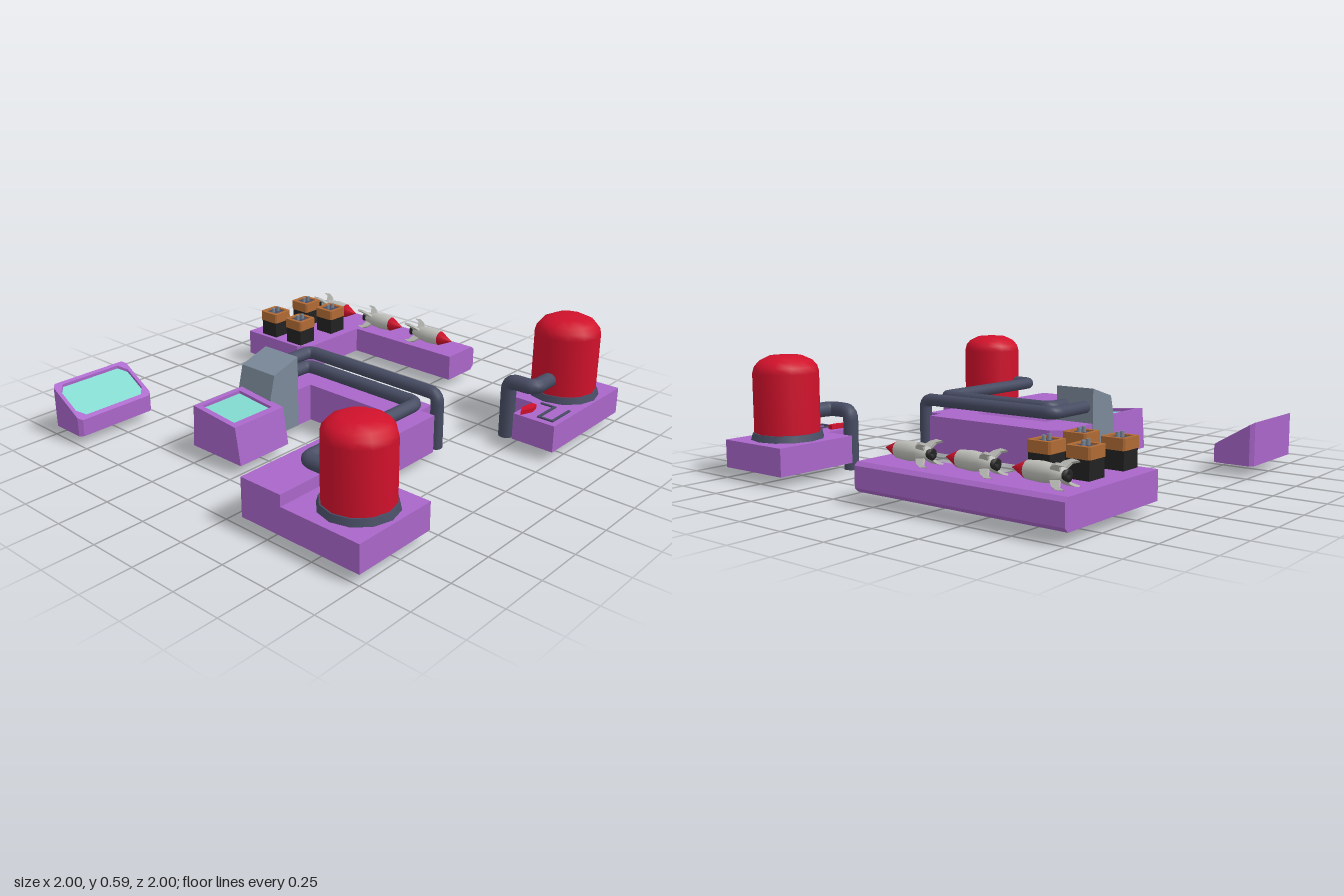
import * as THREE from 'three';

const mat = (color, flatShading = false) =>
  new THREE.MeshStandardMaterial({ color, flatShading, side: THREE.DoubleSide });
const PURPLE = mat(0xa966c9), DARK = mat(0x474c63), RED = mat(0xd0112b), GREY = mat(0x7b8999),
  TEAL = mat(0x7fd6cc), COPPER = mat(0xb06a35), BLACK = mat(0x222222), HULL = mat(0xbdbdb8);

function add(parent, name, geo, material, x = 0, y = 0, z = 0) {
  const m = new THREE.Mesh(geo, material);
  m.name = name;
  m.position.set(x, y, z);
  parent.add(m);
  return m;
}

// Upright prism over an [x, z] outline; top is a height or a rule on a top vertex
function prism(outline, y0, top, hole) {
  const toV = ([x, z]) => new THREE.Vector2(x, -z);
  const shape = new THREE.Shape(outline.map(toV));
  if (hole) shape.holes.push(new THREE.Path(hole.map(toV)));
  const g = new THREE.ExtrudeGeometry(shape, { depth: 1, bevelEnabled: false }).rotateX(-Math.PI / 2);
  const p = g.attributes.position;
  for (let i = 0; i < p.count; i++) {
    if (p.getY(i) < 0.5) p.setY(i, y0);
    else if (typeof top === 'number') p.setY(i, top);
    else {
      const [y, z] = top(p.getZ(i));
      p.setY(i, y);
      p.setZ(i, z);
    }
  }
  g.computeVertexNormals();
  return g;
}

// Rectangle with cut corners
function rect(x0, x1, z0, z1, c = 0) {
  if (!c) return [[x0, z0], [x1, z0], [x1, z1], [x0, z1]];
  return [[x0 + c, z0], [x1 - c, z0], [x1, z0 + c], [x1, z1 - c],
    [x1 - c, z1], [x0 + c, z1], [x0, z1 - c], [x0, z0 + c]];
}

// Pipe: closed straight runs joined by short rounded bends
function pipe(parent, name, pts, r, bend = 0.045) {
  const group = new THREE.Group();
  group.name = name;
  const v = pts.map(p => new THREE.Vector3(...p));
  const toward = (a, b) => a.clone().add(b.clone().sub(a).setLength(bend));
  for (let i = 0; i < v.length - 1; i++) {
    const a = i > 0 ? toward(v[i], v[i + 1]) : v[i];
    const b = i < v.length - 2 ? toward(v[i + 1], v[i]) : v[i + 1];
    const run = add(group, 'pipeRun', new THREE.CylinderGeometry(r, r, a.distanceTo(b), 12), DARK);
    run.position.copy(a).lerp(b, 0.5);
    run.quaternion.setFromUnitVectors(new THREE.Vector3(0, 1, 0), b.clone().sub(a).normalize());
    if (i > 0) {
      const curve = new THREE.QuadraticBezierCurve3(toward(v[i], v[i - 1]), v[i], a);
      add(group, 'pipeBend', new THREE.TubeGeometry(curve, 5, r, 12), DARK);
    }
  }
  parent.add(group);
}

function tank(parent, x, z) {
  const g = new THREE.Group();
  g.name = 'tank';
  g.position.set(x, 0.185, z);
  add(g, 'tankCollar', new THREE.CylinderGeometry(0.167, 0.177, 0.035, 12), DARK, 0, 0.015);
  const profile = [[0.16, 0.02], [0.16, 0.32], [0.152, 0.35], [0.13, 0.376], [0.08, 0.4], [0, 0.402]];
  add(g, 'tankDome', new THREE.LatheGeometry(profile.map(p => new THREE.Vector2(...p)), 12), RED);
  parent.add(g);
}

function battery(parent, x, z) {
  const g = new THREE.Group();
  g.name = 'battery';
  g.position.set(x, 0.185, z);
  add(g, 'batteryCase', new THREE.BoxGeometry(0.108, 0.09, 0.108), BLACK, 0, 0.045);
  const r = 0.06, h = 0.04;
  add(g, 'batteryCap', prism(rect(-r, r, -r, r, 0.008), 0.085, 0.137, rect(-h, h, -h, h)), COPPER);
  add(g, 'batteryPlate', new THREE.BoxGeometry(0.08, 0.04, 0.08), DARK, 0, 0.11);
  for (const s of [-1, 1])
    add(g, 'batteryTerminal', new THREE.CylinderGeometry(0.009, 0.009, 0.03, 8), GREY, s * 0.018, 0.14);
  parent.add(g);
}

function rocket(parent, tipZ) {
  const g = new THREE.Group();
  g.name = 'rocket';
  g.position.set(0.865, 0.235, tipZ);
  const lathe = pts => new THREE.LatheGeometry(pts.map(p => new THREE.Vector2(...p)), 12).rotateX(Math.PI / 2);
  add(g, 'rocketNose', lathe([[0, -0.08], [0.039, -0.08], [0, 0]]), RED);
  add(g, 'rocketBody', lathe([[0, -0.255], [0.028, -0.255], [0.039, -0.2], [0.044, -0.15], [0.039, -0.08]]), HULL);
  add(g, 'rocketNozzle', lathe([[0, -0.265], [0.026, -0.278], [0.018, -0.25]]), BLACK);
  // Swept fins on the diagonals
  const fin = new THREE.Shape([[0.028, -0.2], [0.06, -0.225], [0.075, -0.255], [0.07, -0.292],
    [0.058, -0.262], [0.028, -0.25]].map(p => new THREE.Vector2(...p)));
  for (let i = 0; i < 4; i++) {
    const geo = new THREE.ExtrudeGeometry(fin, { depth: 0.012, bevelEnabled: false })
      .translate(0, 0, -0.006).rotateX(Math.PI / 2);
    add(g, 'rocketFin', geo, HULL).rotation.z = Math.PI / 4 + i * Math.PI / 2;
  }
  parent.add(g);
}

export function createModel() {
  const model = new THREE.Group();
  model.name = 'spaceshipFurniture';

  // Free-standing sloped display
  const slope = z => 0.265 - 0.6 * (z + 1);
  const glass = rect(-0.98, -0.58, -0.985, -0.805, 0.035);
  add(model, 'displayCase', prism(rect(-1, -0.56, -1, -0.785, 0.018), 0.05, z => [slope(z), z], glass), PURPLE);
  add(model, 'displayScreen', prism(glass, 0.06, z => [slope(z) - 0.015, z]), TEAL);

  // Console with tapered front and back
  const deskTop = (z, sink) => {
    const nz = z > 0 ? z - 0.03 : z < -0.3 ? z + 0.015 : z;
    return [0.235 - 0.095 * (nz + 0.02) - sink, nz];
  };
  const desk = rect(-0.66, -0.42, -0.275, -0.055);
  add(model, 'consoleCase', prism(rect(-0.69, -0.38, -0.315, 0.012), 0.05, z => deskTop(z, 0), desk), PURPLE);
  add(model, 'consoleScreen', prism(desk, 0.06, z => deskTop(z, 0.015)), TEAL);

  // Grey pipe housing beside the console
  const wedge = new THREE.Shape([[-0.385, 0.05], [-0.195, 0.05], [-0.195, 0.415], [-0.355, 0.365],
    [-0.385, 0.25]].map(p => new THREE.Vector2(...p)));
  add(model, 'pipeHousing', new THREE.ExtrudeGeometry(wedge, { depth: 0.22, bevelEnabled: false }), GREY, 0, 0, -0.318);

  // Winding counter
  add(model, 'counter', prism([[-0.2, -0.315], [0.05, -0.315], [0.1, -0.27], [0.1, 0.5], [0.015, 0.5],
    [0.015, 0.58], [-1, 0.58], [-1, 0.35], [-0.105, 0.35], [-0.105, -0.1], [-0.2, -0.1]], 0.05, 0.24), PURPLE);

  // Tank plinths
  add(model, 'leftPlinth', prism(rect(-1, -0.56, 0.58, 1), 0.05, 0.185), PURPLE);
  add(model, 'rightPlinth', prism([[0.555, 0.6], [1, 0.6], [1, 1], [0.385, 1], [0.385, 0.775],
    [0.555, 0.775]], 0.05, 0.185), PURPLE);
  tank(model, -0.78, 0.805);
  tank(model, 0.778, 0.81);

  // Pipes
  pipe(model, 'outerPipe', [[-0.22, 0.32, -0.27], [0.075, 0.32, -0.27], [0.075, 0.32, 0.55], [0.075, 0.045, 0.55]], 0.032);
  pipe(model, 'innerPipe', [[-0.22, 0.32, -0.145], [-0.07, 0.32, -0.145], [-0.07, 0.32, 0.545],
    [-0.82, 0.32, 0.545], [-0.82, 0.32, 0.7]], 0.032);
  pipe(model, 'tankDrainPipe', [[0.68, 0.295, 0.815], [0.49, 0.295, 0.815], [0.49, 0.295, 0.675], [0.49, 0, 0.675]], 0.038);

  // Red lever and bent rail on the right plinth
  add(model, 'lever', prism([[0.385, 0.815], [0.43, 0.795], [0.5, 0.805], [0.5, 0.83], [0.45, 0.84]], 0.188, 0.21), RED);
  const rail = [[0.57, 0.82], [0.57, 0.89], [0.425, 0.89], [0.425, 0.965], [0.575, 0.965]];
  for (let i = 0; i < rail.length - 1; i++) {
    const [a, b] = [rail[i], rail[i + 1]];
    add(model, 'floorRail', new THREE.BoxGeometry(Math.abs(a[0] - b[0]) + 0.012, 0.01, Math.abs(a[1] - b[1]) + 0.012),
      DARK, (a[0] + b[0]) / 2, 0.187, (a[1] + b[1]) / 2);
  }

  // Storage shelf with bevelled outer edge
  add(model, 'shelf', prism([[0.335, -1], [0.98, -1], [0.98, 0.11], [0.775, 0.11], [0.775, -0.56],
    [0.4, -0.56], [0.335, -0.62]], 0.05, 0.185), PURPLE);
  const edge = new THREE.Shape([[0.98, 0.05], [1, 0.07], [1, 0.168], [0.98, 0.185]].map(p => new THREE.Vector2(...p)));
  add(model, 'shelfEdge', new THREE.ExtrudeGeometry(edge, { depth: 1.11, bevelEnabled: false }), PURPLE, 0, 0, -1);
  for (const x of [0.412, 0.663]) for (const z of [-0.86, -0.667]) battery(model, x, z);
  for (const z of [0.055, -0.295, -0.645]) rocket(model, z);

  return model;
}
